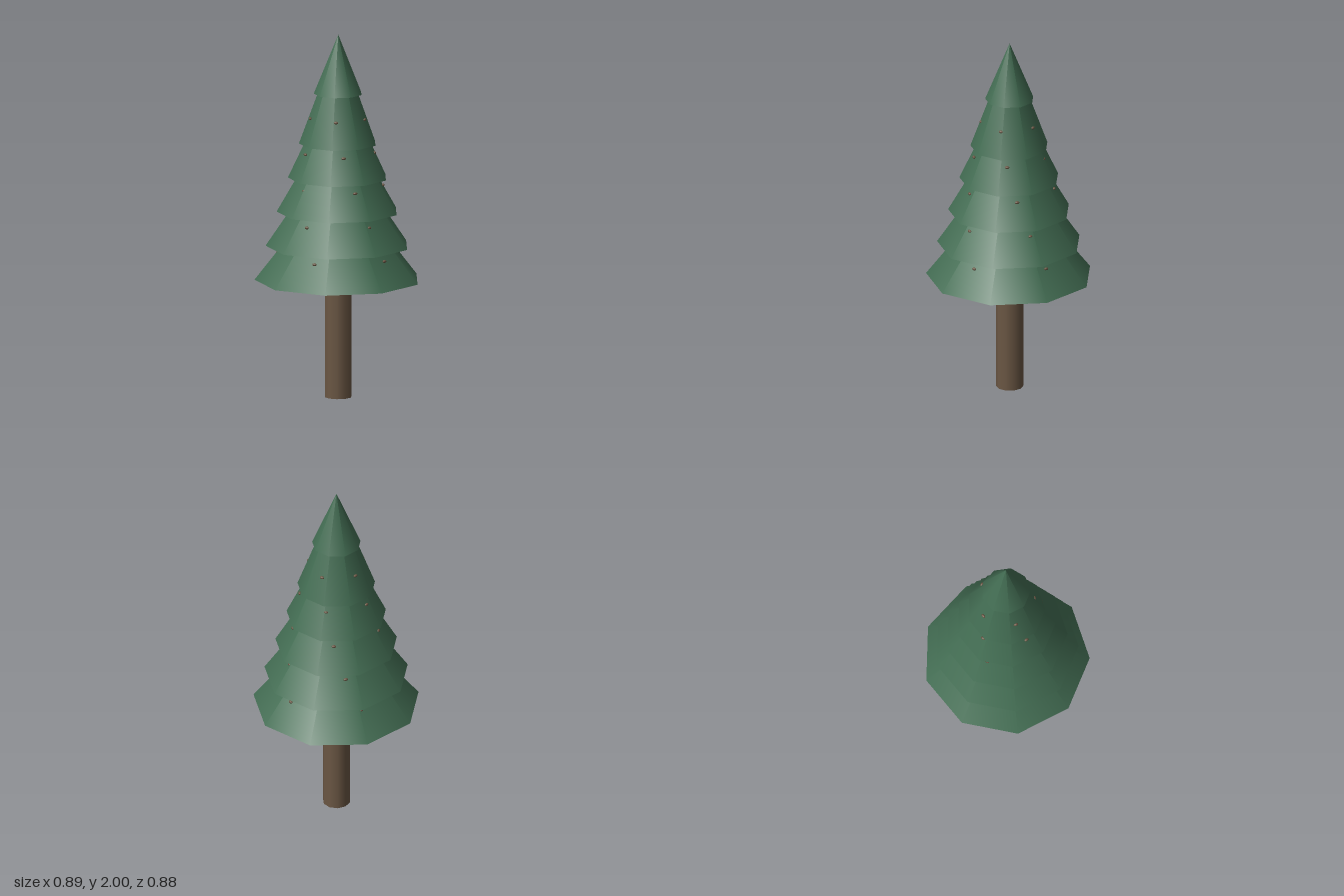
import * as THREE from 'three';

export function createModel() {
  const tree = new THREE.Group();
  tree.name = 'pineTree';
  const needles = new THREE.MeshStandardMaterial({ color: 0x426c52 });
  needles.name = 'needle green';
  const bark = new THREE.MeshStandardMaterial({ color: 0x6b5744 });
  bark.name = 'bark brown';

  const add = (name, geometry, material, x, y, z) => {
    const mesh = new THREE.Mesh(geometry, material);
    mesh.name = name;
    mesh.position.set(x, y, z);
    tree.add(mesh);
    return mesh;
  };

  const axisZ = -0.014; // nine-sided tiers sit slightly behind the centre

  // trunk
  add('trunk', new THREE.CylinderGeometry(0.074, 0.074, 0.68, 10), bark, 0, 0.34, axisZ);

  // overlapping branch tiers: [base height, radius, cone height]
  const tiers = [
    [0.648, 0.454, 0.58],
    [0.836, 0.394, 0.58],
    [1.024, 0.334, 0.58],
    [1.212, 0.273, 0.58],
    [1.4, 0.213, 0.58],
    [1.675, 0.133, 0.325],
  ];
  const coneGeometry = new THREE.SphereGeometry(1, 8, 6);
  tiers.forEach(([base, radius, height], i) => {
    add('branchTier' + (i + 1), new THREE.ConeGeometry(radius, height, 9), needles,
      0, base + height / 2, axisZ);
    if (i === tiers.length - 1) return;

    // five small cones around each lower tier, turning from tier to tier
    for (let k = 0; k < 5; k++) {
      const a = THREE.MathUtils.degToRad(18 - 13.5 * i + 72 * k);
      const r = radius * 0.73;
      const cone = add('pineCone', coneGeometry, bark,
        Math.sin(a) * r, base + 0.143, axisZ + Math.cos(a) * r);
      cone.scale.set(0.013, 0.008, 0.008);
      cone.rotation.y = a;
    }
  });

  return tree;
}
